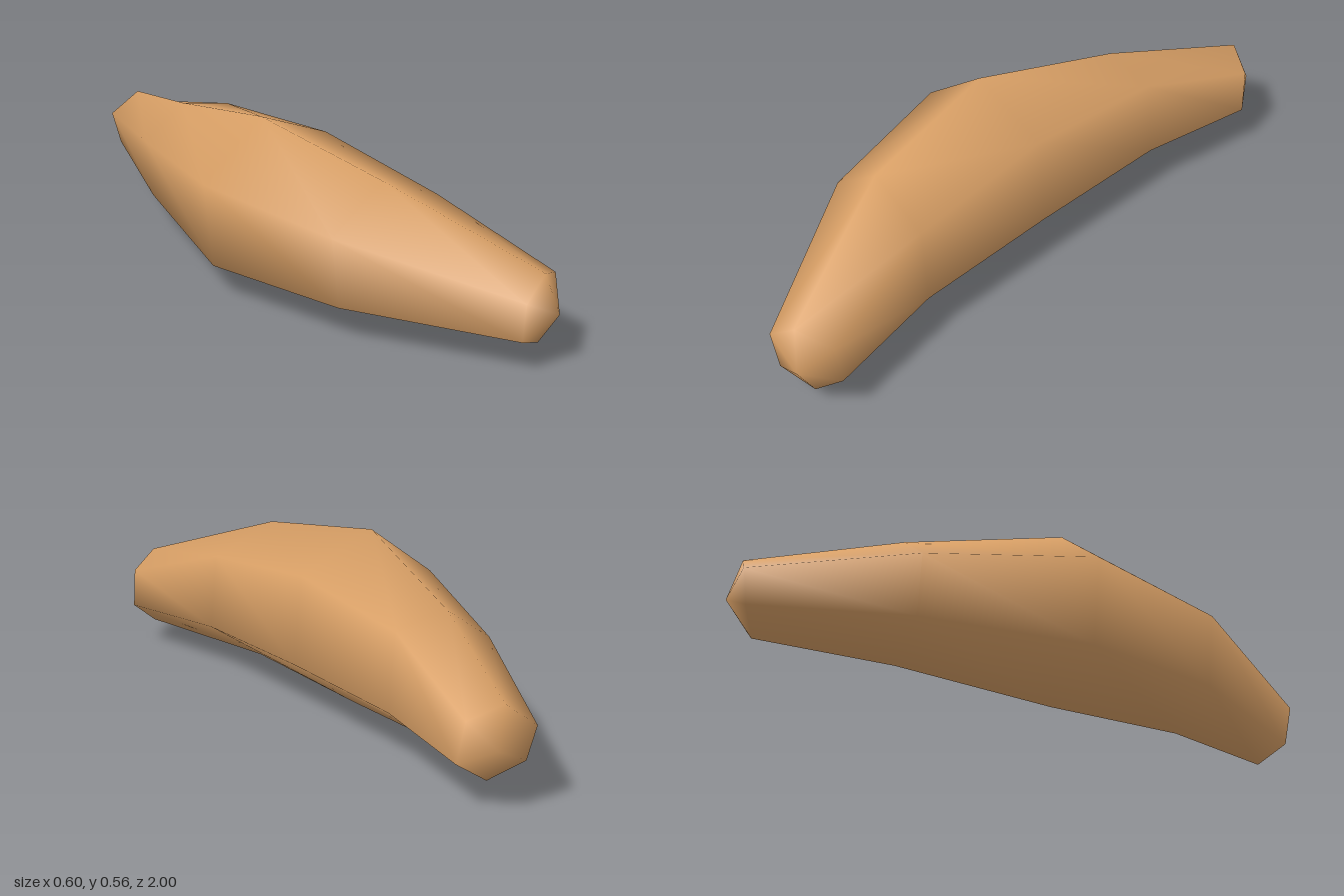
import * as THREE from 'three';

// Hexagonal cross-sections from front to back, each corner as [x, y, z]:
// top, left edge, lower left, bottom, lower right, upper right
const RINGS = [
  [[0.18, 0.303, 0.97], [0.09, 0.24, 0.99], [0.10, 0.11, 0.97], [0.205, 0.063, 0.93], [0.297, 0.138, 0.9], [0.285, 0.257, 0.91]],
  [[-0.01, 0.48, 0.49], [-0.197, 0.345, 0.48], [-0.17, 0.117, 0.48], [0.042, 0.03, 0.49], [0.222, 0.155, 0.5], [0.197, 0.39, 0.5]],
  [[-0.075, 0.555, 0], [-0.298, 0.387, 0], [-0.265, 0.11, 0], [-0.008, 0, 0], [0.21, 0.165, 0], [0.182, 0.445, 0]],
  [[0, 0.438, -0.51], [-0.145, 0.335, -0.52], [-0.12, 0.14, -0.52], [0.04, 0.043, -0.51], [0.2, 0.16, -0.5], [0.175, 0.4, -0.5]],
  [[0.14, 0.32, -0.97], [0.05, 0.25, -1], [0.07, 0.145, -0.98], [0.16, 0.085, -0.92], [0.25, 0.145, -0.9], [0.235, 0.275, -0.92]],
];
const FRONT_TIP = [0.215, 0.175, 1];
const BACK_TIP = [0.18, 0.2, -1];

// Skin the rings into a closed, smooth-shaded surface
function loft(rings, frontTip, backTip) {
  const sides = rings[0].length;
  const points = [...rings.flat(), frontTip, backTip];
  const front = points.length - 2;
  const back = points.length - 1;
  const last = (rings.length - 1) * sides;
  const index = [];
  for (let j = 0; j < sides; j++) {
    const k = (j + 1) % sides;
    for (let i = 0; i < rings.length - 1; i++) {
      const a = i * sides + j, b = i * sides + k;
      const c = a + sides, d = b + sides;
      index.push(a, c, b, b, c, d);
    }
    // rounded end caps
    index.push(front, j, k, back, last + k, last + j);
  }
  const geometry = new THREE.BufferGeometry();
  geometry.setAttribute('position', new THREE.Float32BufferAttribute(points.flat(), 3));
  geometry.setIndex(index);
  geometry.computeVertexNormals();
  return geometry;
}

export function createModel() {
  const group = new THREE.Group();
  group.name = 'curvedLoaf';

  const crust = new THREE.MeshStandardMaterial({ color: 0xd9a066, side: THREE.DoubleSide });
  crust.name = 'goldenCrust';

  const body = new THREE.Mesh(loft(RINGS, FRONT_TIP, BACK_TIP), crust);
  body.name = 'loafBody';
  group.add(body);
  return group;
}
